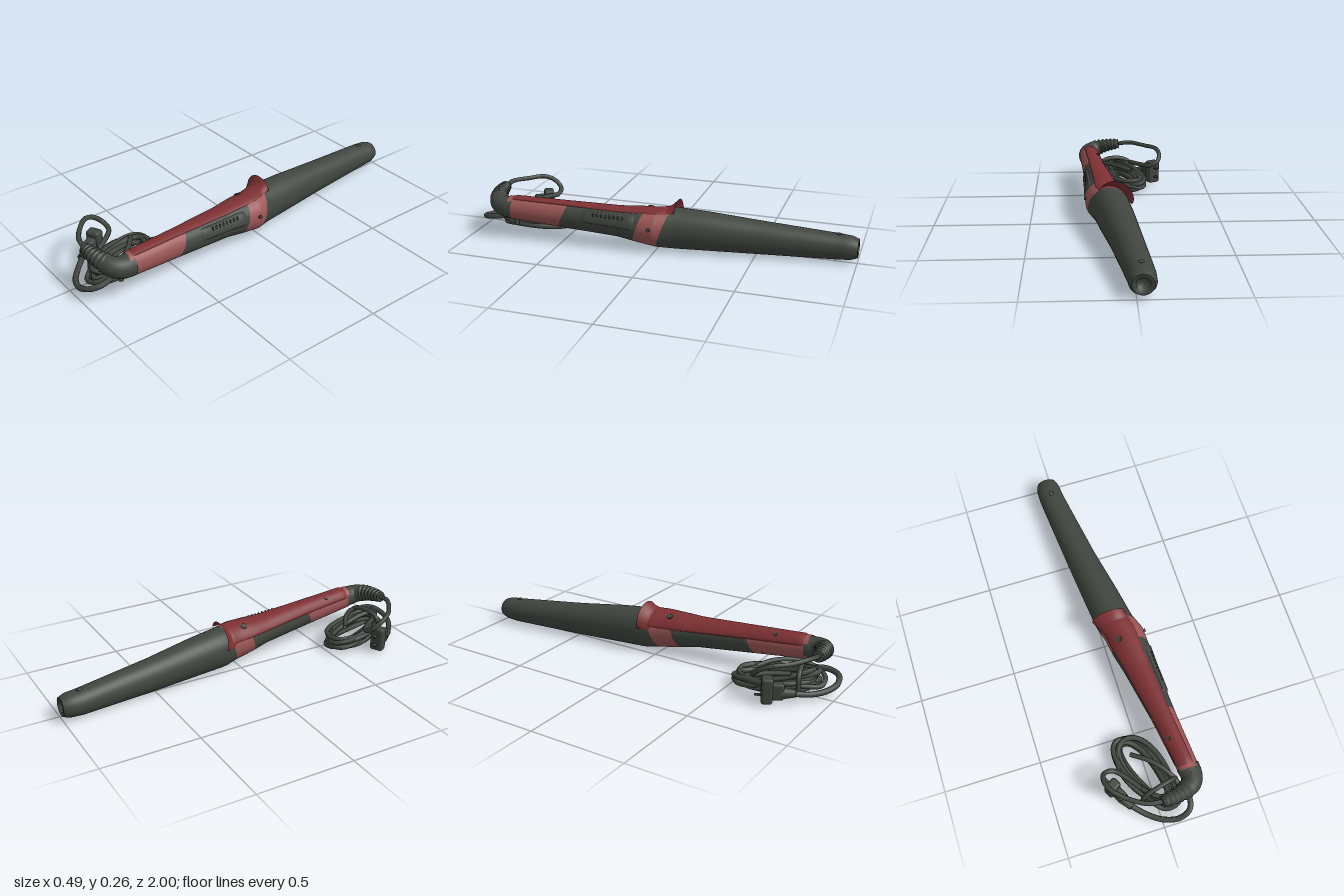
import * as THREE from 'three';
import { mergeVertices } from 'three/addons/utils/BufferGeometryUtils.js';
import { RoundedBoxGeometry } from 'three/addons/geometries/RoundedBoxGeometry.js';

const mat = (name, color) => new THREE.MeshStandardMaterial({ name, color, side: THREE.DoubleSide });
const V = (p) => new THREE.Vector3(...p);
const rad = THREE.MathUtils.degToRad;

// Body cross-sections: z, centre x, half width, centre y, half height
const SECTIONS = [
  [-1.0, -0.028, 0.05, 0.071, 0.048], [-0.98, -0.028, 0.062, 0.071, 0.059],
  [-0.9, -0.025, 0.066, 0.072, 0.066], [-0.5, 0.022, 0.08, 0.09, 0.087],
  [-0.25, 0.057, 0.093, 0.105, 0.101], [-0.08, 0.08, 0.099, 0.112, 0.108],
  [0.0, 0.107, 0.103, 0.115, 0.1], [0.1, 0.115, 0.097, 0.122, 0.09],
  [0.2, 0.126, 0.085, 0.13, 0.077], [0.5, 0.158, 0.063, 0.147, 0.07],
  [0.8, 0.188, 0.053, 0.165, 0.061],
];

// Point on the body surface; angle a runs from the top towards +x
function surface(a, z, off = 0) {
  let i = 0;
  while (i < SECTIONS.length - 2 && z > SECTIONS[i + 1][0]) i++;
  const p = SECTIONS[i], q = SECTIONS[i + 1];
  const t = (z - p[0]) / (q[0] - p[0]);
  const [, cx, rx, cy, ry] = p.map((v, k) => v + (q[k] - v) * t);
  return V([cx + (rx + off) * Math.sin(a), cy + (ry + off) * Math.cos(a), z]);
}

// Skin made from a rule fn(u, v) => Vector3
function skin(nu, nv, fn) {
  const pos = [], idx = [];
  for (let j = 0; j <= nv; j++)
    for (let i = 0; i <= nu; i++) pos.push(...fn(i / nu, j / nv).toArray());
  for (let j = 0; j < nv; j++)
    for (let i = 0; i < nu; i++) {
      const a = j * (nu + 1) + i, b = a + 1, c = a + nu + 1, d = c + 1;
      idx.push(a, c, b, b, c, d);
    }
  let g = new THREE.BufferGeometry();
  g.setAttribute('position', new THREE.Float32BufferAttribute(pos, 3));
  g.setIndex(idx);
  g = mergeVertices(g, 1e-5);
  g.computeVertexNormals();
  return g;
}

// Full ring of the body whose ends slant with height
const band = (z0, s0, z1, s1) => skin(48, 30, (u, v) => {
  const a = u * Math.PI * 2, c = Math.cos(a);
  return surface(a, THREE.MathUtils.lerp(z0 + s0 * c, z1 + s1 * c, v));
});

// Tube whose radius follows a rule along its length
function variedTube(points, segs, sides, radius) {
  const curve = new THREE.CatmullRomCurve3(points.map(V));
  const g = new THREE.TubeGeometry(curve, segs, 1, sides);
  const pos = g.attributes.position, p = new THREE.Vector3();
  for (let i = 0; i <= segs; i++) {
    const c = curve.getPointAt(i / segs), r = radius(i / segs);
    for (let j = 0; j <= sides; j++) {
      const k = i * (sides + 1) + j;
      p.fromBufferAttribute(pos, k).sub(c).multiplyScalar(r).add(c);
      pos.setXYZ(k, p.x, p.y, p.z);
    }
  }
  g.computeVertexNormals();
  return g;
}

export function createModel() {
  const dark = mat('charcoal', 0x40463f);
  const red = mat('deep red', 0x7d3033);
  const rose = mat('rose', 0x9c5656);
  const group = new THREE.Group();
  const add = (name, geo, material, parent = group) => {
    const m = new THREE.Mesh(geo, material);
    m.name = name;
    parent.add(m);
    return m;
  };

  // Barrel and handle bands
  add('barrel', band(-1, 0, -0.035, -0.035), dark);
  add('collar', band(-0.035, -0.035, 0.09, -0.03), rose);
  add('grip', band(0.09, -0.03, 0.49, -0.03), dark);
  add('rearHandle', band(0.49, -0.03, 0.79, 0), rose);

  // Recessed end of the barrel
  const tip = new THREE.LatheGeometry(
    [[0, -0.035], [0.028, -0.035], [0.031, 0], [0.05, 0]].map((p) => new THREE.Vector2(...p)), 32);
  tip.rotateX(-Math.PI / 2).scale(1, 0.96, 1);
  add('barrelTip', tip, dark).position.set(-0.028, 0.071, -1);
  const nub = add('tipNub', new THREE.SphereGeometry(0.012, 14, 8), dark);
  nub.position.copy(surface(0, -0.9));
  nub.scale.set(1, 0.5, 1.4);

  // Top panel, rolled towards -x, with a flared lip at its barrel end
  const a0 = rad(-72), a1 = rad(32);
  add('topPanel', skin(24, 36, (u, v) => {
    const edge = u === 0 || u === 1 || v === 0 || v === 1;
    return surface(a0 + (a1 - a0) * u, -0.07 + 0.845 * v, edge ? -0.002 : 0.005);
  }), red);
  add('lip', skin(28, 10, (u, v) => {
    const h = Math.pow(Math.sin(Math.PI * u), 0.6) * 0.034 + 0.006;
    return surface(a0 - 0.1 + (a1 - a0 + 0.12) * u, -0.035 - 0.06 * v, 0.003 + h * v * v);
  }), red);

  // Round details on the panel and side
  [[-28, 0.05, 0.016], [-34, 0.62, 0.01], [80, 0.02, 0.009]].forEach(([deg, z, r]) => {
    const a = rad(deg);
    const b = add('button', new THREE.CylinderGeometry(r, r, 0.008, 20), dark);
    b.position.copy(surface(a, z, 0.005));
    b.rotation.z = -a;
  });

  // Raised pad with ridges on the grip side
  add('gripPad', skin(10, 16, (u, v) => {
    const edge = u === 0 || u === 1 || v === 0 || v === 1;
    return surface(rad(42 + 50 * u), 0.1 + 0.28 * v, edge ? 0 : 0.007);
  }), dark);
  for (let i = 0; i < 8; i++) {
    const rib = add('gripRidge', new THREE.SphereGeometry(0.008, 8, 6), dark);
    rib.position.copy(surface(rad(57), 0.16 + i * 0.022, 0.008));
    rib.scale.set(0.8, 1.5, 0.7);
  }

  // Elbow and ribbed strain relief
  const sleeve = [[0.187, 0.163, 0.77], [0.19, 0.166, 0.815], [0.175, 0.176, 0.855],
    [0.135, 0.19, 0.88], [0.075, 0.201, 0.897], [0.005, 0.208, 0.905]];
  add('strainRelief', variedTube(sleeve, 110, 24, (t) => {
    const r = t < 0.25 ? 0.058 - 0.02 * t : 0.053 - 0.034 * (t - 0.25);
    const ribs = t > 0.48 ? 0.0035 * Math.sin((t - 0.48) * 75) : 0;
    return t === 1 ? 0.005 : r + ribs;
  }), dark);

  // Cable leads
  const cable = (name, pts, segs, r = 0.0125) => add(name,
    new THREE.TubeGeometry(new THREE.CatmullRomCurve3(pts.map(V)), segs, r, 8), dark);
  cable('handleLead', [[0.02, 0.207, 0.905], [-0.06, 0.217, 0.895], [-0.15, 0.211, 0.84],
    [-0.213, 0.208, 0.775], [-0.23, 0.185, 0.72], [-0.215, 0.15, 0.68],
    [-0.17, 0.13, 0.675], [-0.12, 0.125, 0.72], [-0.06, 0.12, 0.8]], 90);
  cable('plugLead', [[-0.125, 0.055, 0.86], [-0.07, 0.045, 0.915], [0.0, 0.048, 0.965],
    [0.08, 0.06, 0.985], [0.14, 0.078, 0.96], [0.155, 0.088, 0.9], [0.125, 0.09, 0.83],
    [0.06, 0.085, 0.72]], 90, 0.0145);

  // Coiled cable: stacked elongated loops, pinched at the front
  const coil = [], turns = 9, per = 14;
  for (let i = 0; i <= turns * per; i++) {
    const u = (i / per) * Math.PI * 2, n = i / per;
    const size = 0.82 + 0.17 * Math.sin(n * 2.4);
    const along = 0.2 * (0.92 + 0.08 * Math.sin(n * 4.1)) * Math.cos(u);
    const across = 0.098 * size * Math.sin(u) * (1 - 0.16 * Math.cos(u)) + 0.012 * Math.sin(n * 1.7);
    const lift = 0.025 + 0.085 * (n / turns) * (0.8 + 0.25 * Math.cos(u)) + 0.008 * Math.sin(u * 2 + n);
    coil.push([-0.015 + 0.36 * along + 0.93 * across, lift, 0.71 + 0.96 * along - 0.3 * across]);
  }
  cable('coiledCable', coil, 560, 0.0135);
  // Loose strands and a wrap across the bundle
  cable('looseStrand', [[-0.06, 0.115, 0.62], [0.02, 0.13, 0.68], [0.09, 0.125, 0.76],
    [0.125, 0.1, 0.84], [0.1, 0.07, 0.91], [0.03, 0.05, 0.92], [-0.05, 0.06, 0.84]], 60);
  cable('bundleWrap', [[-0.07, 0.03, 0.85], [-0.05, 0.115, 0.84], [0.03, 0.142, 0.82],
    [0.11, 0.12, 0.8], [0.125, 0.04, 0.79]], 50);

  // Plug: head, waist, relief and two prongs, built along z
  const plug = new THREE.Group();
  plug.name = 'plug';
  plug.position.set(-0.192, 0.075, 0.745);
  plug.rotation.y = 0.5;
  group.add(plug);
  add('plugHead', new RoundedBoxGeometry(0.072, 0.13, 0.055, 3, 0.014), dark, plug);
  add('plugWaist', new RoundedBoxGeometry(0.05, 0.085, 0.07, 3, 0.014), dark, plug).position.set(0, -0.005, 0.045);
  const neck = add('plugNeck', new THREE.CylinderGeometry(0.018, 0.03, 0.07, 16), dark, plug);
  neck.rotation.x = Math.PI / 2;
  neck.position.set(0, -0.015, 0.1);
  for (const s of [-1, 1])
    add('plugProng', new THREE.BoxGeometry(0.018, 0.006, 0.035), dark, plug).position.set(0, s * 0.026, -0.04);

  return group;
}
